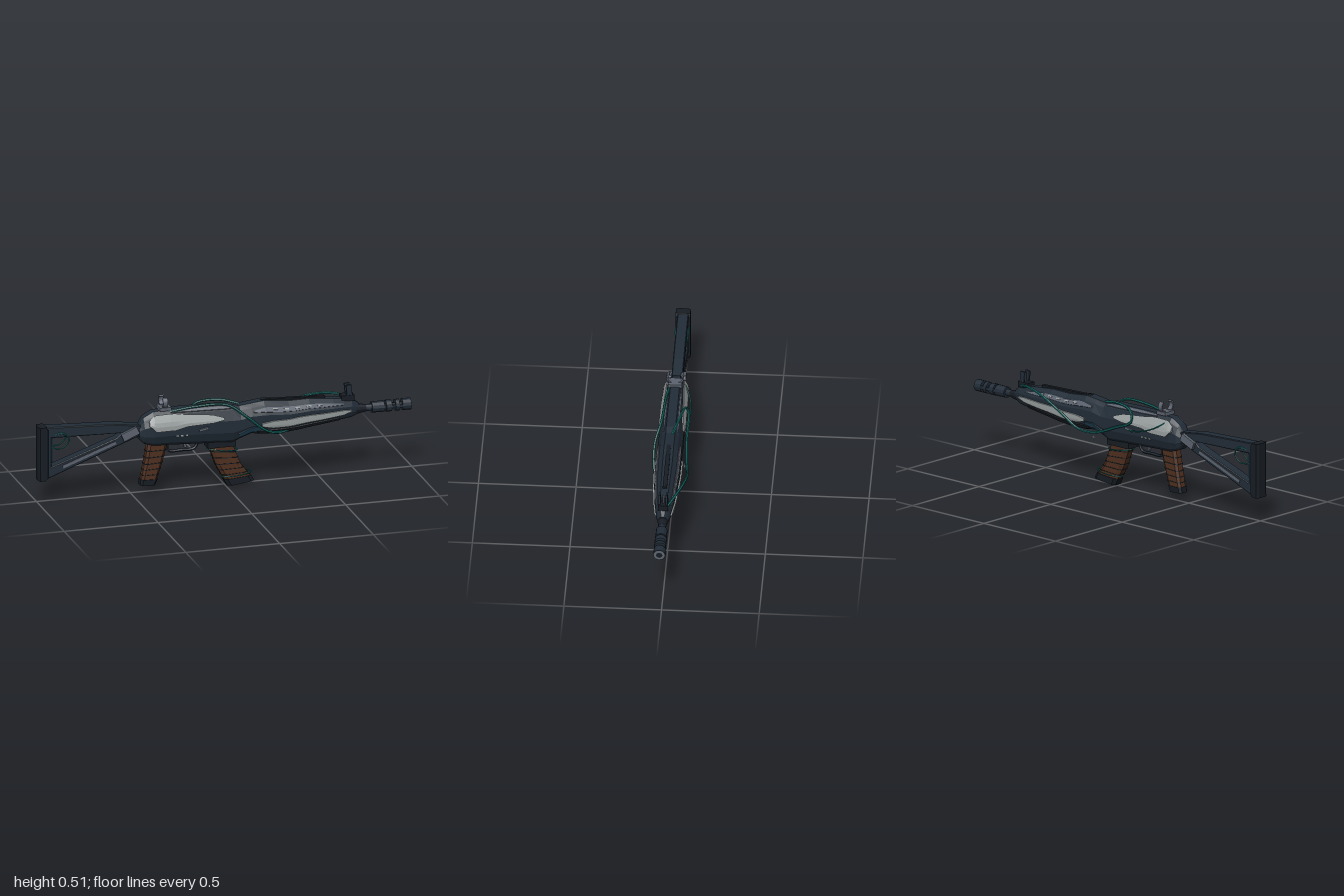
import * as THREE from 'three';

const mat = (name, color) => Object.assign(new THREE.MeshStandardMaterial({ color, flatShading: true }), { name });
const V = (x, y, z) => new THREE.Vector3(x, y, z);
const lerp = THREE.MathUtils.lerp;

// Closed, faceted solid through a list of rings with equal point counts
function loft(rings) {
  const pos = [];
  const tri = (a, b, c) => pos.push(...a.toArray(), ...b.toArray(), ...c.toArray());
  const n = rings[0].length;
  for (let i = 0; i < rings.length - 1; i++) {
    for (let j = 0; j < n; j++) {
      const k = (j + 1) % n, a = rings[i], b = rings[i + 1];
      tri(a[j], b[j], b[k]);
      tri(a[j], b[k], a[k]);
    }
  }
  [[rings[0], 0], [rings[rings.length - 1], 1]].forEach(([r, end]) => {
    const c = r.reduce((s, p) => s.add(p), V(0, 0, 0)).divideScalar(n);
    for (let j = 0; j < n; j++) {
      const k = (j + 1) % n;
      end ? tri(c, r[k], r[j]) : tri(c, r[j], r[k]);
    }
  });
  // Turn the solid outward if it was wound inward
  let vol = 0;
  const at = i => V(pos[i], pos[i + 1], pos[i + 2]);
  for (let i = 0; i < pos.length; i += 9) vol += at(i).dot(at(i + 3).cross(at(i + 6)));
  if (vol < 0) {
    for (let i = 0; i < pos.length; i += 9) {
      for (let d = 0; d < 3; d++) [pos[i + 3 + d], pos[i + 6 + d]] = [pos[i + 6 + d], pos[i + 3 + d]];
    }
  }
  const g = new THREE.BufferGeometry();
  g.setAttribute('position', new THREE.Float32BufferAttribute(pos, 3));
  g.computeVertexNormals();
  return g;
}

// Body stations: x, top, bottom, half width
const BODY = [
  [-0.465, 0.37, 0.30, 0.035], [-0.44, 0.41, 0.275, 0.05], [-0.39, 0.438, 0.26, 0.057],
  [-0.3, 0.445, 0.258, 0.06], [-0.1, 0.443, 0.248, 0.062], [0.03, 0.44, 0.24, 0.063],
  [0.07, 0.43, 0.258, 0.063], [0.13, 0.437, 0.28, 0.064], [0.2, 0.445, 0.27, 0.065],
  [0.33, 0.432, 0.27, 0.065], [0.44, 0.433, 0.285, 0.06], [0.57, 0.42, 0.30, 0.05],
  [0.67, 0.408, 0.312, 0.036], [0.71, 0.38, 0.325, 0.023]];

function halfSection(x) {
  let i = 0;
  while (i < BODY.length - 2 && BODY[i + 1][0] < x) i++;
  const a = BODY[i], b = BODY[i + 1], t = (x - a[0]) / (b[0] - a[0]);
  const [top, bot, w] = [1, 2, 3].map(k => lerp(a[k], b[k], t));
  const h = top - bot;
  return [V(x, top, 0.38 * w), V(x, top - 0.12 * h, 0.68 * w), V(x, top - 0.38 * h, w),
    V(x, bot + 0.3 * h, w), V(x, bot + 0.08 * h, 0.75 * w), V(x, bot, 0.55 * w)];
}

// Point on the body skin at section parameter u (0 top, 5 bottom)
function skin(x, u, off = 0, side = 1) {
  const s = halfSection(x), i = Math.min(4, Math.floor(u));
  const p = s[i].clone().lerp(s[i + 1], u - i);
  const mid = (s[0].y + s[5].y) / 2;
  p.add(V(0, p.y - mid, p.z).normalize().multiplyScalar(off));
  p.z *= side;
  return p;
}

// Plate hugging the skin; keys are [x, u0, u1]
function plate(keys, off, side) {
  const rings = [];
  const slice = (x, a, b) => {
    const us = [0, 0.25, 0.5, 0.75, 1].map(t => lerp(a, b, t));
    return [...us.map(u => skin(x, u, off, side)), ...us.reverse().map(u => skin(x, u, -0.004, side))];
  };
  for (let i = 0; i < keys.length - 1; i++) {
    for (let s = 0; s < 4; s++) rings.push(slice(...keys[i].map((v, k) => lerp(v, keys[i + 1][k], s / 4))));
  }
  rings.push(slice(...keys[keys.length - 1]));
  return loft(rings);
}

// Chamfered block section between a rear and a front point
function blockRing([xa, ya, xb, yb, hz], grow = 0) {
  const f = (t, z) => V(lerp(xa, xb, t), lerp(ya, yb, t), z);
  const e = grow / Math.abs(xb - xa), a = -e, b = 1 + e, z = hz + grow, c = 0.14;
  return [f(a, -z * 0.6), f(a, z * 0.6), f(a + c, z), f(b - c, z), f(b, z * 0.6), f(b, -z * 0.6), f(b - c, -z), f(a + c, -z)];
}
function along(keys, t) {
  const s = t * (keys.length - 1), i = Math.min(keys.length - 2, Math.floor(s));
  return keys[i].map((v, k) => lerp(v, keys[i + 1][k], s - i));
}

export function createModel() {
  const root = new THREE.Group(), gun = new THREE.Group();
  gun.name = 'rifle';
  gun.position.z = 0.0125;
  root.add(gun);
  const M = {
    body: mat('navy body', 0x222d38), black: mat('near black', 0x171d24), light: mat('pale panel', 0x999f9f),
    grey: mat('steel grey', 0x5d6470), teal: mat('teal cable', 0x146a66), brown: mat('brown grip', 0x4f3020),
    blue: mat('deep blue', 0x23465a)
  };
  const add = (name, geo, m) => {
    const o = new THREE.Mesh(geo, m);
    o.name = name;
    gun.add(o);
    return o;
  };
  const box = (name, w, h, d, x, y, z, m, rz = 0) => {
    const o = add(name, new THREE.BoxGeometry(w, h, d), m);
    o.position.set(x, y, z);
    o.rotation.z = rz;
    return o;
  };
  const tube = (name, pts, r, m = M.teal) =>
    add(name, new THREE.TubeGeometry(new THREE.CatmullRomCurve3(pts.map(p => V(...p))), 48, r, 6), m);
  const barrelPart = (name, x0, x1, r0, r1, m, sides = 12) => {
    const o = add(name, new THREE.CylinderGeometry(r1, r0, x1 - x0, sides), m);
    o.rotation.z = -Math.PI / 2;
    o.position.set((x0 + x1) / 2, 0.347, 0);
  };

  // Receiver and handguard in one faceted hull
  add('receiver and handguard', loft(BODY.map(([x]) => {
    const s = halfSection(x);
    return [...s, ...s.map(p => V(p.x, p.y, -p.z)).reverse()];
  })), M.body);
  for (const s of [1, -1]) {
    add('rear side panel', plate([[-0.415, 1.3, 1.9], [-0.38, 1.0, 2.5], [-0.28, 1.05, 2.5], [-0.22, 1.2, 2.25], [-0.08, 1.4, 2.1], [-0.02, 1.7, 1.9]], 0.009, s), M.light);
    add('front side panel', plate([[0.18, 2.75, 3.0], [0.24, 2.55, 3.3], [0.38, 2.4, 3.2], [0.5, 2.45, 3.2], [0.62, 2.4, 3.0], [0.665, 2.5, 2.7]], 0.008, s), M.light);
    add('upper strip', plate([[0.14, 1.4, 1.6], [0.22, 1.2, 1.7], [0.5, 1.2, 1.7], [0.62, 1.4, 1.6]], 0.006, s), M.grey);
    add('receiver strip', plate([[-0.3, 0.5, 0.7], [-0.2, 0.35, 0.8], [-0.02, 0.35, 0.8], [0.05, 0.5, 0.7]], 0.005, s), M.grey);
    add('lower rail', plate([[0.16, 3.7, 4.2], [0.3, 3.6, 4.4], [0.6, 3.6, 4.3]], 0.006, s), M.black);
    add('blue inlay', plate([[0.06, 3.4, 3.9], [0.11, 3.2, 4.1], [0.18, 3.2, 3.6]], 0.004, s), M.blue);
    for (let i = 0; i < 5; i++) add('vent mark', plate([[0.24 + i * 0.06, 1.35, 1.5], [0.265 + i * 0.06, 1.35, 1.5]], 0.009, s), M.light);
    for (let i = 0; i < 3; i++) box('rivet', 0.012, 0.008, 0.006, -0.27 + i * 0.025, 0.31, s * 0.061, M.light);
    box('selector lever', 0.05, 0.012, 0.012, -0.13, 0.335, s * 0.065, M.grey, 0.2);
  }
  box('top ridge', 0.34, 0.012, 0.022, 0.36, 0.435, 0, M.black, -0.03);
  box('magazine well', 0.15, 0.045, 0.075, -0.025, 0.24, 0, M.black);

  // Barrel and slotted muzzle brake
  barrelPart('barrel cone', 0.69, 0.75, 0.03, 0.019, M.black);
  barrelPart('barrel', 0.74, 0.79, 0.018, 0.018, M.body);
  barrelPart('muzzle collar', 0.78, 0.845, 0.029, 0.03, M.body);
  barrelPart('muzzle core', 0.84, 0.985, 0.013, 0.013, M.black);
  [[0.855, 0.885], [0.905, 0.925], [0.942, 0.988]].forEach(([a, b]) => barrelPart('brake ring', a, b, 0.031, 0.031, M.body));
  for (const s of [1, -1]) box('brake rib', 0.14, 0.016, 0.01, 0.915, 0.347, s * 0.022, M.body);
  const face = add('muzzle face', new THREE.RingGeometry(0.016, 0.029, 20), M.grey);
  face.rotation.y = Math.PI / 2;
  face.position.set(0.99, 0.347, 0);
  const bore = add('bore', new THREE.CircleGeometry(0.016, 20), M.black);
  bore.rotation.y = Math.PI / 2;
  bore.position.set(0.989, 0.347, 0);

  // Front sight: two ears around a post
  box('front sight base', 0.07, 0.03, 0.05, 0.65, 0.415, 0, M.black);
  for (const s of [1, -1]) box('front sight ear', 0.028, 0.065, 0.01, 0.657, 0.452, s * 0.018, M.body, 0.1);
  box('front sight post', 0.01, 0.06, 0.008, 0.655, 0.45, 0, M.grey);

  // Rear sight: two curved horns
  box('rear sight base', 0.06, 0.018, 0.07, -0.325, 0.45, 0, M.grey);
  for (const s of [1, -1]) {
    const arc = new THREE.Shape();
    arc.absarc(0, 0, 0.031, -1.4, 1.0, false);
    arc.absarc(0, 0, 0.023, 1.0, -1.4, true);
    const o = add('rear sight horn', new THREE.ExtrudeGeometry(arc, { depth: 0.026, bevelEnabled: false, curveSegments: 10 }), M.grey);
    o.rotation.y = s > 0 ? -Math.PI / 2 : Math.PI / 2;
    o.position.set(s > 0 ? -0.315 : -0.341, 0.485, s * 0.014);
  }

  // Skeleton stock
  const stock = new THREE.Shape([[-0.99, 0.14], [-0.97, 0.13], [-0.47, 0.32], [-0.45, 0.37], [-0.6, 0.39], [-0.94, 0.405], [-0.99, 0.405]].map(p => new THREE.Vector2(...p)));
  stock.holes.push(new THREE.Path([[-0.935, 0.355], [-0.935, 0.19], [-0.58, 0.315], [-0.55, 0.345]].map(p => new THREE.Vector2(...p))));
  add('stock frame', new THREE.ExtrudeGeometry(stock, { depth: 0.05, bevelSize: 0.004, bevelThickness: 0.004, bevelSegments: 1 }), M.body).position.z = -0.025;
  add('butt plate', loft([[0.125, -0.96], [0.14, -0.945], [0.395, -0.945], [0.412, -0.955]].map(([y, x]) => blockRing([-1, y, x, y, 0.038]))), M.black);
  box('butt inlay', 0.025, 0.13, 0.036, -0.932, 0.285, 0, M.blue);
  for (const s of [1, -1]) {
    box('stock strut strip', 0.3, 0.016, 0.006, -0.73, 0.243, s * 0.029, M.grey, 0.352);
    box('stock hinge', 0.09, 0.042, 0.018, -0.515, 0.338, s * 0.036, M.grey, 0.4);
  }

  // Wrapped grip and curved magazine
  const wrapped = (name, keys, cap, bands) => {
    add(name, loft(keys.map(k => blockRing(k))), M.brown);
    add(name + ' base', loft([along(keys, 0.88), cap].map(k => blockRing(k, 0.004))), M.black);
    for (let i = 1; i <= bands; i++) {
      const t = i / (bands + 1) * 0.9;
      add(name + ' band', loft([t, t + 0.018].map(u => blockRing(along(keys, u), 0.0025))), M.black);
    }
  };
  wrapped('pistol grip', [[-0.415, 0.265, -0.31, 0.265, 0.028], [-0.435, 0.15, -0.34, 0.155, 0.028], [-0.453, 0.055, -0.375, 0.052, 0.027]], [-0.453, 0.048, -0.38, 0.045, 0.026], 5);
  wrapped('magazine', [[-0.093, 0.235, 0.04, 0.215, 0.028], [-0.05, 0.115, 0.08, 0.115, 0.0285], [0.006, 0.015, 0.146, 0.03, 0.0285]], [0.012, 0.004, 0.147, 0.02, 0.029], 5);
  [[-0.015, 0.2, 0.082, -0.12], [0.06, 0.06, 0.082, 0.08]].forEach(([x, y, r, tilt]) => {
    const o = add('magazine cord', new THREE.TorusGeometry(r, 0.0035, 5, 28), M.teal);
    o.rotation.set(Math.PI / 2, tilt, 0);
    o.scale.y = 0.5;
    o.position.set(x, y, 0);
  });

  // Trigger and guard
  tube('trigger guard', [[-0.31, 0.25, 0], [-0.3, 0.217, 0], [-0.23, 0.213, 0], [-0.165, 0.217, 0], [-0.14, 0.255, 0]], 0.008, M.body);
  box('trigger', 0.012, 0.035, 0.012, -0.215, 0.242, 0, M.grey, 0.25);

  // Loose cables
  tube('left cable', [[-0.3, 0.435, 0.03], [-0.18, 0.452, 0.04], [0, 0.448, 0.05], [0.1, 0.38, 0.078], [0.2, 0.3, 0.076], [0.27, 0.278, 0.06], [0.33, 0.285, 0.045]], 0.007);
  tube('right cable', [[0.66, 0.41, -0.02], [0.58, 0.425, -0.06], [0.45, 0.41, -0.095], [0.3, 0.34, -0.1], [0.2, 0.285, -0.095], [0.1, 0.28, -0.085], [-0.04, 0.33, -0.078], [-0.16, 0.385, -0.08], [-0.14, 0.435, -0.065], [-0.02, 0.452, -0.04], [0.08, 0.43, -0.01]], 0.007);
  tube('rear cable', [[-0.38, 0.42, -0.04], [-0.3, 0.37, -0.078], [-0.2, 0.34, -0.082], [-0.1, 0.33, -0.06]], 0.004);
  for (const s of [1, -1]) {
    tube('stock cord', [[-0.94, 0.36, s * 0.02], [-0.87, 0.372, s * 0.033], [-0.838, 0.335, s * 0.03], [-0.87, 0.295, s * 0.03], [-0.94, 0.295, s * 0.02]], 0.004);
  }

  // Hanging star charm
  [[0.006, 0.022], [0.02, 0.006]].forEach(([w, h]) => {
    const o = add('star charm', new THREE.OctahedronGeometry(1), M.light);
    o.scale.set(w, h, 0.006);
    o.position.set(0.11, 0.25, -0.074);
  });
  return root;
}
